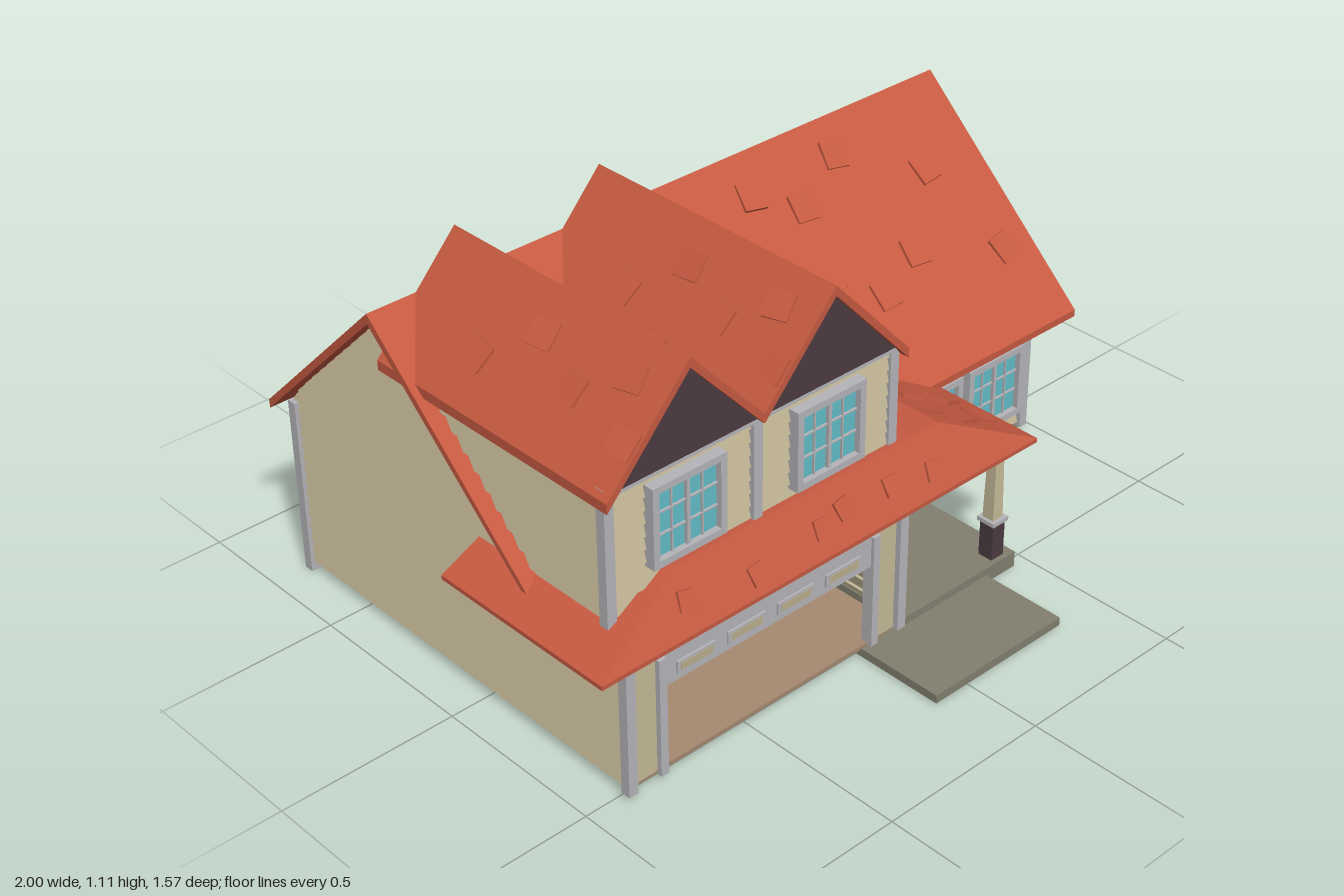
import * as THREE from 'three';

const mat = (color) => new THREE.MeshStandardMaterial({ color, side: THREE.DoubleSide, flatShading: true });
const M = {
  siding: mat(0xc6ba98), trim: mat(0xb6b6ba), roof: mat(0xc65a41), gable: mat(0x4c3b40),
  glass: mat(0x62bdc8), slab: mat(0x838070), brown: mat(0xa68a70), door: mat(0xbbae8e),
};

export function createModel() {
  const house = new THREE.Group();
  house.name = 'house';

  const add = (name, geometry, material, parent = house) => {
    const mesh = new THREE.Mesh(geometry, material);
    mesh.name = name;
    parent.add(mesh);
    return mesh;
  };
  // Box given by its lower and upper limits on each axis
  const box = (name, material, x0, x1, y0, y1, z0, z1, parent) => {
    const m = add(name, new THREE.BoxGeometry(x1 - x0, y1 - y0, z1 - z0), material, parent);
    m.position.set((x0 + x1) / 2, (y0 + y1) / 2, (z0 + z1) / 2);
    return m;
  };
  const extrude = (name, points, depth, material) =>
    add(name, new THREE.ExtrudeGeometry(
      new THREE.Shape(points.map(([x, y]) => new THREE.Vector2(x, y))),
      { depth, bevelEnabled: false }), material);

  // Frames for each wall direction: local x runs along the wall, local z points outward
  const face = (name, angle, x, z) => {
    const g = new THREE.Group();
    g.name = name;
    g.rotation.y = angle;
    g.position.set(x, 0, z);
    house.add(g);
    return g;
  };

  // Lapped boards; span(y) gives the left and right ends of the wall at height y
  const siding = (name, parent, y0, y1, span) => {
    const pos = [], rows = Math.max(1, Math.round((y1 - y0) / 0.036)), h = (y1 - y0) / rows, lap = 0.009;
    const quad = (a, b, c, d) => pos.push(...a, ...b, ...c, ...a, ...c, ...d);
    for (let i = 0; i < rows; i++) {
      const lo = y0 + i * h, hi = lo + h;
      const [a, b] = span(lo + 1e-4), [c, d] = span(hi - 1e-4);
      quad([a, lo, lap], [b, lo, lap], [d, hi, 0], [c, hi, 0]);
      quad([a, lo, 0], [b, lo, 0], [b, lo, lap], [a, lo, lap]);
    }
    const g = new THREE.BufferGeometry();
    g.setAttribute('position', new THREE.Float32BufferAttribute(pos, 3));
    g.computeVertexNormals();
    return add(name, g, M.siding, parent);
  };

  // Twin-sash window centred at (u, y) on a wall frame
  const windowUnit = (parent, u, y, w = 0.225, h = 0.222, d = 0.035) => {
    const g = new THREE.Group();
    g.name = 'window';
    g.position.set(u, y, 0);
    parent.add(g);
    const t = 0.019, iw = w / 2 - t, ih = h / 2 - t;
    for (const s of [-1, 1]) {
      box('frameSide', M.trim, s * (w - t) / 2 - t / 2, s * (w - t) / 2 + t / 2, -h / 2, h / 2, 0, d, g);
      box('frameRail', M.trim, -iw, iw, s * (h - t) / 2 - t / 2, s * (h - t) / 2 + t / 2, 0, d, g);
      box('muntinSash', M.trim, s * iw / 2 - 0.002, s * iw / 2 + 0.002, -ih, ih, 0.012, 0.024, g);
      box('muntinRail', M.trim, -iw, iw, s * ih / 3 - 0.002, s * ih / 3 + 0.002, 0.012, 0.024, g);
    }
    box('mullion', M.trim, -0.005, 0.005, -ih, ih, 0.01, 0.028, g);
    box('glass', M.glass, -iw, iw, -ih, ih, 0.004, 0.018, g);
  };

  // Walls
  const roofFront = (y) => -0.32 + (0.955 - y) / 0.964;
  const roofBack = (y) => -0.32 - (0.955 - y) / 1.0;
  const front = (y) => Math.min(0.09, roofFront(y)), back = (y) => Math.max(-0.74, roofBack(y));
  const rightWall = face('rightGable', Math.PI / 2, 0.96, 0);
  siding('rightSiding', rightWall, 0.03, 0.95, (y) => [-front(y), -back(y)]);
  const leftWall = face('leftGable', -Math.PI / 2, -0.88, 0);
  siding('leftSiding', leftWall, 0.03, 0.95, (y) => [back(y), front(y)]);
  siding('leftGarageSiding', leftWall, 0.03, 0.42, () => [0.09, 0.52]);
  siding('leftUpperSiding', leftWall, 0.42, 0.845, () => [-0.2, 0.465]);
  const wingWall = face('wingRightWall', Math.PI / 2, 0.02, 0);
  siding('wingLowerSiding', wingWall, 0.03, 0.42, () => [-0.52, -0.09]);
  siding('wingUpperSiding', wingWall, 0.42, 0.845, () => [-0.465, 0.2]);
  const backWall = face('backWall', Math.PI, 0, -0.74);
  siding('backSiding', backWall, 0.03, 0.53, () => [-0.96, 0.88]);
  const frontWall = face('frontWall', 0, 0, 0.09);
  siding('frontSiding', frontWall, 0.03, 0.45, () => [0.02, 0.96]);
  const upperWall = face('upperFrontWall', 0, 0, 0.465);
  siding('upperSiding', upperWall, 0.42, 0.845, () => [-0.88, 0.02]);

  // Windows
  for (const u of [0.157, 0.49]) windowUnit(rightWall, u, 0.195);
  for (const x of [0.567, 0.818]) windowUnit(frontWall, x, 0.195);
  for (const x of [-0.66, -0.21]) windowUnit(upperWall, x, 0.695);
  for (const x of [0.68, 0.42, -0.30, -0.57]) windowUnit(backWall, -x, 0.195);

  // Garage: front wall, frame, raised door, floor and back wall
  box('garageWall', M.siding, -0.88, -0.79, 0.03, 0.42, 0.505, 0.52);
  box('garageWall', M.siding, -0.08, 0.02, 0.03, 0.42, 0.505, 0.52);
  box('garageLintel', M.siding, -0.79, -0.08, 0.36, 0.42, 0.505, 0.52);
  box('garageFrame', M.trim, -0.795, -0.772, 0.02, 0.36, 0.5, 0.535);
  box('garageFrame', M.trim, -0.092, -0.07, 0.02, 0.36, 0.5, 0.535);
  box('garageDoor', M.trim, -0.772, -0.092, 0.27, 0.36, 0.503, 0.525);
  for (const x of [-0.675, -0.515, -0.353, -0.192]) {
    box('garageDoorPanel', M.trim, x - 0.06, x + 0.06, 0.29, 0.325, 0.52, 0.531);
    box('garageDoorInset', M.door, x - 0.05, x + 0.05, 0.297, 0.318, 0.525, 0.532);
  }
  box('garageFloor', M.brown, -0.88, 0.015, 0.022, 0.034, -0.28, 0.52);
  box('garageBackWall', M.brown, -0.875, 0.015, 0.034, 0.45, -0.28, -0.27);
  siding('garageBackSiding', face('garageRear', Math.PI, 0, -0.282), 0.03, 0.45, () => [-0.015, 0.875]);

  // Foundation, porch floor and front step
  box('foundation', M.slab, 0, 0.96, 0.004, 0.034, -0.74, 0.09);
  box('porchFloor', M.slab, 0.02, 0.45, 0.004, 0.05, 0.08, 0.53);
  box('frontStep', M.slab, -0.115, 0.342, 0.004, 0.028, 0.5, 0.78);

  // Front door and porch column
  box('frontDoor', M.door, 0.125, 0.265, 0.05, 0.3, 0.09, 0.108);
  box('columnBase', M.gable, 0.375, 0.42, 0.05, 0.158, 0.47, 0.515);
  box('columnCap', M.trim, 0.369, 0.426, 0.158, 0.17, 0.464, 0.521);
  const post = add('columnPost', new THREE.CylinderGeometry(0.02, 0.026, 0.25, 4), M.siding);
  post.rotation.y = Math.PI / 4;
  post.geometry.rotateY(0);
  post.position.set(0.397, 0.295, 0.492);
  box('columnHead', M.trim, 0.375, 0.42, 0.398, 0.42, 0.47, 0.515);

  // Corner boards [x, z, bottom, top]
  for (const [x, z, y0, y1] of [
    [0.961, 0.094, 0.015, 0.455], [0.961, -0.737, 0.015, 0.52], [-0.883, -0.737, 0.0, 0.52],
    [-0.883, 0.465, 0.45, 0.85], [0.02, 0.465, 0.45, 0.85], [-0.883, 0.522, 0.015, 0.415],
    [0.015, 0.522, 0.03, 0.415], [-0.435, 0.47, 0.5, 0.85], [0.437, 0.094, 0.04, 0.45],
  ]) box('cornerBoard', M.trim, x - 0.014, x + 0.014, y0, y1, z - 0.014, z + 0.014);
  box('upperFrieze', M.trim, -0.885, 0.025, 0.828, 0.85, 0.46, 0.485);
  box('frontSoffit', M.trim, 0.03, 0.965, 0.44, 0.455, 0.085, 0.205);

  // Main roof
  const mainRoof = extrude('mainRoof',
    [[-0.245, 0.425], [-0.245, 0.445], [0.32, 0.97], [0.785, 0.52], [0.785, 0.495], [0.32, 0.942]],
    1.915, M.roof);
  mainRoof.rotation.y = Math.PI / 2;
  mainRoof.position.x = -0.93;

  // Twin front gables
  const ridgeLine = [[-0.91, 0.835], [-0.66, 1.105], [-0.435, 0.86], [-0.21, 1.105], [0.04, 0.835]];
  const lower = ridgeLine.map(([x, y]) => [x, y - 0.027]).reverse();
  extrude('gableRoof', [...ridgeLine, ...lower], 0.825, M.roof).position.z = -0.32;
  for (const x of [-0.66, -0.21]) {
    const tri = [[x - 0.225, 0.84], [x + 0.225, 0.84], [x, 1.085]];
    extrude('gableFront', tri, 0.012, M.gable).position.z = 0.475;
    extrude('gableBack', tri, 0.008, M.trim).position.z = -0.316;
  }

  // Hipped skirt roof over the garage and porch, from three stacked rings
  const rings = [[-1, 0.455, 0.575, 0.412], [-1, 0.455, 0.575, 0.424], [-0.71, 0.17, 0.49, 0.56]]
    .map(([x0, x1, z, y]) => [[x0, y, 0], [x0, y, z], [x1, y, z], [x1, y, 0]]);
  const hip = [], quad = (a, b, c, d) => hip.push(...a, ...b, ...c, ...a, ...c, ...d);
  for (let r = 0; r < 2; r++)
    for (let i = 0; i < 4; i++) {
      const j = (i + 1) % 4;
      quad(rings[r][i], rings[r][j], rings[r + 1][j], rings[r + 1][i]);
    }
  quad(...rings[2]);
  quad(...[...rings[0]].reverse());
  const hipGeo = new THREE.BufferGeometry();
  hipGeo.setAttribute('position', new THREE.Float32BufferAttribute(hip, 3));
  hipGeo.computeVertexNormals();
  add('porchRoof', hipGeo, M.roof);

  // Loose raised shingles scattered on every slope
  const up = new THREE.Vector3(0, 1, 0);
  let count = 0;
  const shingles = (list, height, normal, size = 0.07) => {
    for (const [x, z] of list) {
      const m = add('shingle', new THREE.BoxGeometry(size, 0.012, size * 1.1), M.roof);
      m.position.set(x, height(x, z) + 0.003, z);
      m.quaternion.setFromUnitVectors(up, new THREE.Vector3(...normal).normalize());
      m.rotateY(0.09 * ((count * 3) % 5 - 2));
      m.rotateX(0.05 * (count++ % 3 - 1));
    }
  };
  shingles([[0.22, -0.23], [0.09, -0.12], [0.35, -0.17], [0.31, -0.02], [0.44, 0.05], [0.53, -0.24],
    [0.78, -0.14], [0.6, 0.0], [0.88, 0.07], [0.16, 0.02]], (x, z) => 0.97 - 0.93 * (z + 0.32), [0, 1, 0.93]);
  shingles([[-0.73, -0.72], [-0.38, -0.69], [-0.05, -0.72], [0.2, -0.73], [0.47, -0.72], [0.82, -0.68],
    [0.78, -0.5], [0.62, -0.59], [0.35, -0.5], [0.2, -0.6], [0.07, -0.5], [-0.22, -0.52], [-0.42, -0.45],
    [-0.5, -0.61], [-0.68, -0.5]], (x, z) => 0.97 + 0.968 * (z + 0.32), [0, 1, -0.968]);
  for (const peak of [-0.66, -0.21])
    for (const s of [-1, 1])
      shingles([[0.16, -0.09], [0.08, 0.06], [0.13, 0.21], [0.07, 0.35], [0.16, 0.42]]
        .map(([dx, z]) => [peak + s * dx, z - 0.04 * s]),
      (x) => 1.105 - 1.085 * Math.abs(x - peak), [s * 1.085, 1, 0]);
  shingles([[0.25, 0.3], [0.29, 0.45], [0.38, 0.44], [0.36, 0.33], [0.22, 0.4]],
    (x) => 0.56 - 0.477 * (x - 0.17), [0.477, 1, 0]);
  shingles([[-0.71, 0.535], [-0.5, 0.55], [-0.28, 0.54], [-0.2, 0.53], [-0.04, 0.535], [0.1, 0.545]],
    (x, z) => 0.56 - 1.6 * (z - 0.49), [0, 1, 1.6], 0.045);

  return house;
}
